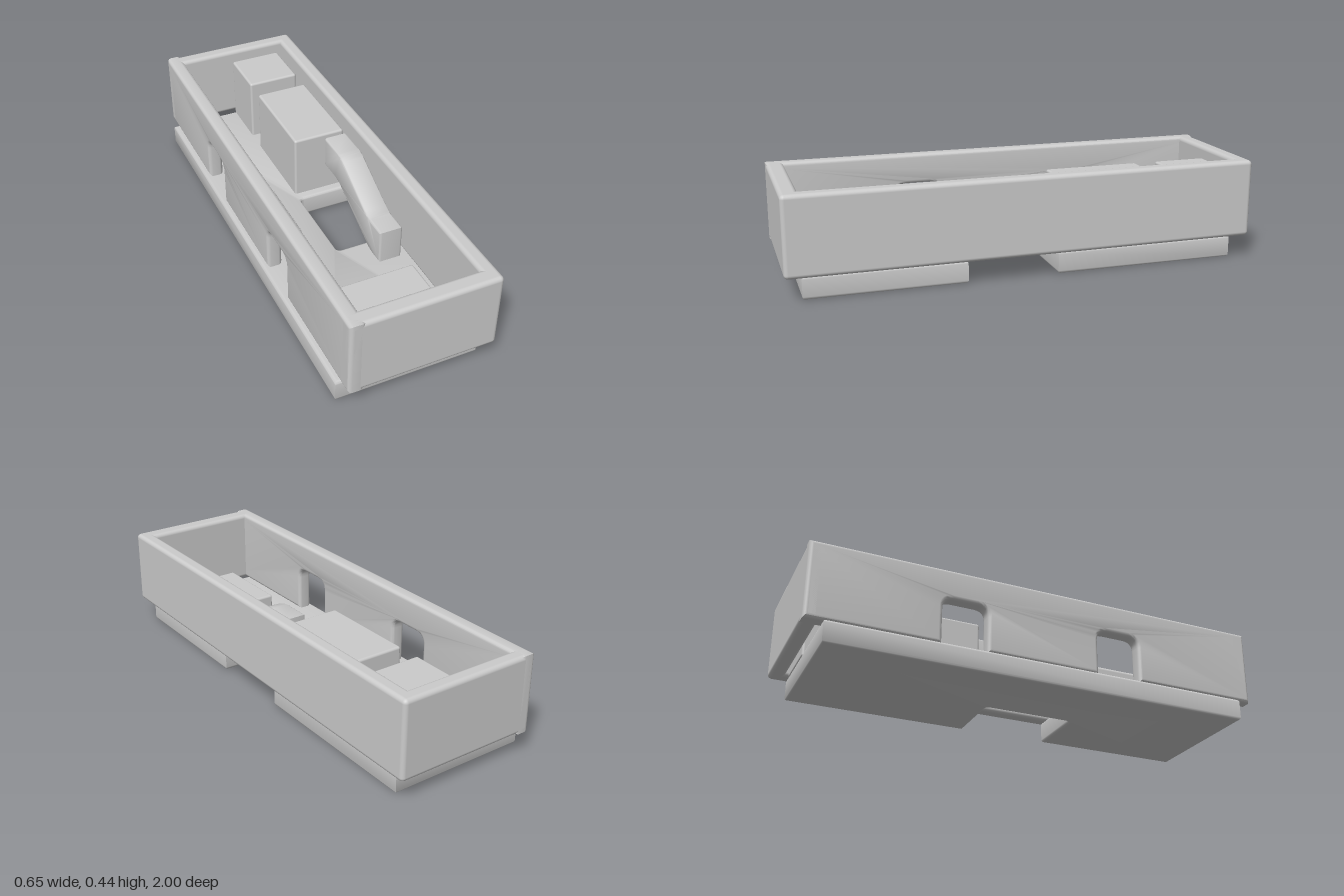
import * as THREE from 'three';
import { toCreasedNormals } from 'three/addons/utils/BufferGeometryUtils.js';
import { RoundedBoxGeometry } from 'three/addons/geometries/RoundedBoxGeometry.js';

const material = new THREE.MeshStandardMaterial({ color: 0xcccccc });

function addMesh(parent, name, geometry) {
  const mesh = new THREE.Mesh(geometry, material);
  mesh.name = name;
  parent.add(mesh);
  return mesh;
}

// Polygon outline from [u, v, cornerRadius] points.
function outline(points) {
  const shape = new THREE.Shape();
  const n = points.length;
  points.forEach(([u, v, r = 0], i) => {
    const p = new THREE.Vector2(u, v);
    const towards = (q) => new THREE.Vector2(q[0], q[1]).sub(p).setLength(r).add(p);
    const a = r ? towards(points[(i + n - 1) % n]) : p;
    if (i === 0) shape.moveTo(a.x, a.y);
    else shape.lineTo(a.x, a.y);
    if (r) {
      const b = towards(points[(i + 1) % n]);
      shape.quadraticCurveTo(p.x, p.y, b.x, b.y);
    }
  });
  return shape;
}

// Slab of exact outer size with softly rounded edges, from local z = 0 upwards.
function slab(points, thickness, bevel) {
  const geometry = new THREE.ExtrudeGeometry(outline(points), {
    depth: thickness - 2 * bevel,
    bevelSize: bevel,
    bevelThickness: bevel,
    bevelOffset: -bevel,
    bevelSegments: 4,
    curveSegments: 6,
  });
  geometry.translate(0, 0, bevel);
  return toCreasedNormals(geometry, 0.6);
}

// Rounded box given by its limits along each axis.
function addBlock(parent, name, [x0, x1], [y0, y1], [z0, z1], radius) {
  const geometry = new RoundedBoxGeometry(x1 - x0, y1 - y0, z1 - z0, 3, radius);
  const mesh = addMesh(parent, name, geometry);
  mesh.position.set((x0 + x1) / 2, (y0 + y1) / 2, (z0 + z1) / 2);
}

export function createModel() {
  const model = new THREE.Group();
  model.name = 'housing';

  // Base plate with a rectangular notch in its +x edge
  const base = slab([
    [-0.325, -0.925], [0.283, -0.925], [0.283, -0.13], [0.005, -0.13, 0.02],
    [0.005, 0.26, 0.02], [0.283, 0.26], [0.283, 0.93], [-0.325, 0.93],
  ], 0.097, 0.013);
  base.rotateX(Math.PI / 2);
  addMesh(model, 'basePlate', base).position.y = 0.097;

  // Open frame: three plain walls
  const frame = new THREE.Group();
  frame.name = 'frame';
  model.add(frame);
  const height = [0.1, 0.435];
  addBlock(frame, 'frontWall', [-0.307, 0.322], height, [0.925, 1], 0.018);
  addBlock(frame, 'backWall', [-0.307, 0.322], height, [-1, -0.935], 0.018);
  addBlock(frame, 'plainSideWall', [0.257, 0.322], height, [-1, 1], 0.018);

  // Side wall with two slots open at the bottom
  const wall = [[-1, 0.1]];
  for (const [z0, z1] of [[-0.45, -0.255], [0.245, 0.44]]) {
    wall.push([z0, 0.1], [z0, 0.305, 0.045], [z1, 0.305, 0.045], [z1, 0.1]);
  }
  wall.push([1, 0.1], [1, 0.435], [-1, 0.435]);
  const slottedWall = slab(wall, 0.065, 0.016);
  slottedWall.rotateY(-Math.PI / 2);
  addMesh(frame, 'slottedSideWall', slottedWall).position.x = -0.242;

  // Blocks standing on the base plate: x, top height, z
  const blocks = [
    ['backBlock', [0, 0.235], 0.385, [-0.928, -0.69]],
    ['tallBlock', [0, 0.235], 0.385, [-0.595, -0.17]],
    ['lowBar', [-0.215, -0.105], 0.155, [-0.17, 0.14]],
    ['frontPad', [-0.145, 0.215], 0.162, [0.53, 0.89]],
  ];
  for (const [name, x, top, z] of blocks) {
    addBlock(model, name, x, [0.085, top], z, 0.01);
  }

  // Stepped ramp descending over the notch
  const ramp = slab([
    [-0.14, 0.385], [0.01, 0.385, 0.03], [0.28, 0.25, 0.03], [0.4, 0.25],
    [0.4, 0.095], [0.31, 0.095, 0.03], [0, 0.245, 0.03], [-0.14, 0.245],
  ], 0.105, 0.01);
  ramp.rotateY(-Math.PI / 2);
  addMesh(model, 'ramp', ramp).position.x = 0.235;

  return model;
}
